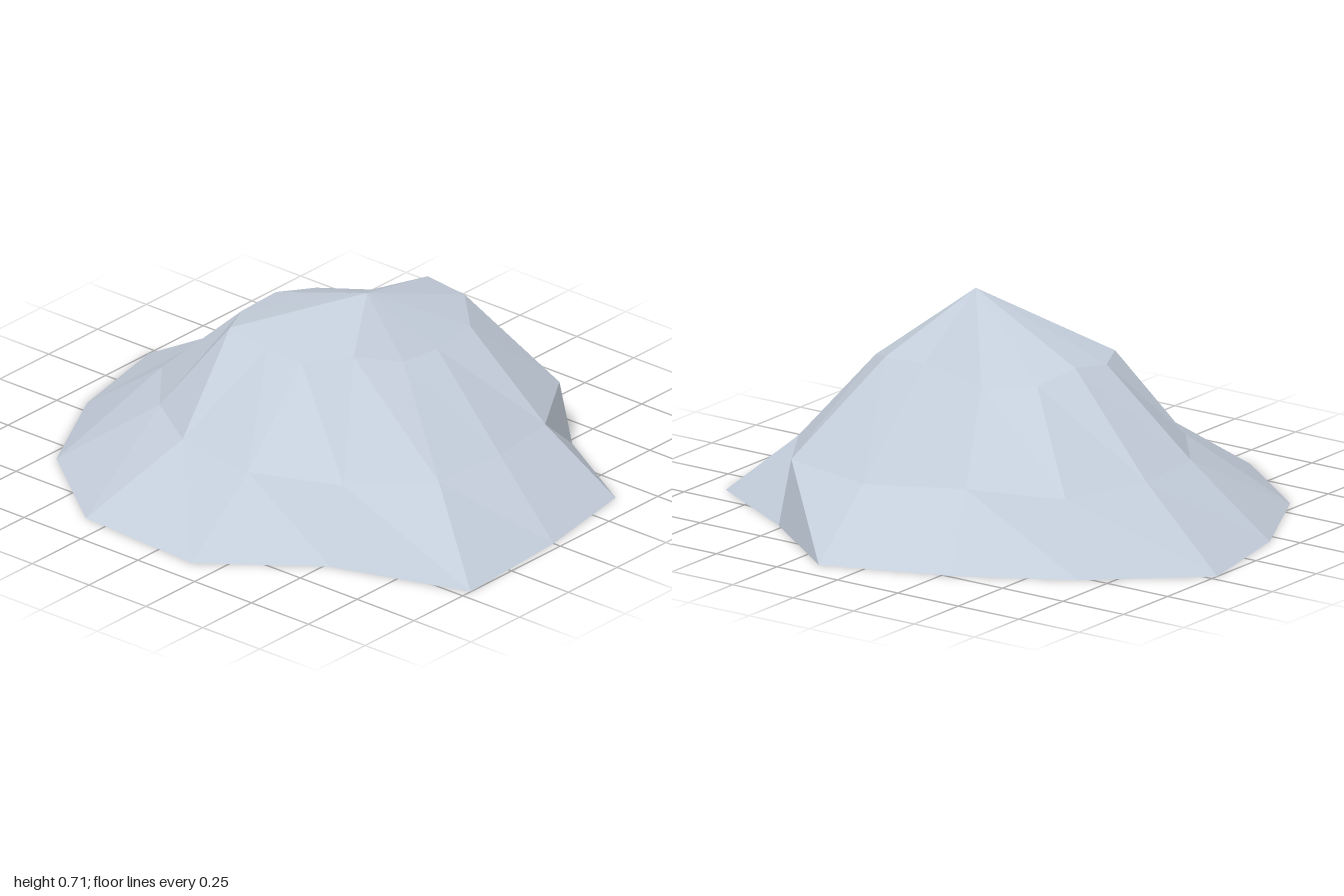
import * as THREE from 'three';

// Horizontal cross-sections of the hill as [x, y, z], running clockwise from the back
const foot = [
  [0.15, 0, -0.9], [0.52, 0, -0.62], [0.9, 0, -0.4], [0.97, 0, 0], [1, 0, 0.46],
  [0.52, 0, 0.62], [0.15, 0, 0.9], [-0.34, 0, 0.87], [-0.71, 0, 0.59], [-0.91, 0, 0.2],
  [-1, 0, -0.22], [-0.65, 0, -0.53], [-0.28, 0, -0.74],
];
const slope = [
  [0.15, 0.22, -0.65], [0.49, 0.23, -0.59], [0.65, 0.22, -0.33], [0.7, 0.23, -0.04], [0.68, 0.23, 0.25],
  [0.46, 0.23, 0.48], [0.15, 0.23, 0.61], [-0.18, 0.23, 0.56], [-0.41, 0.23, 0.41], [-0.59, 0.23, 0.19],
  [-0.62, 0.23, -0.1], [-0.52, 0.23, -0.42], [-0.18, 0.23, -0.52],
];
const shoulder = [
  [0.1, 0.58, -0.37], [0.27, 0.57, -0.36], [0.39, 0.53, -0.25], [0.39, 0.51, -0.08], [0.37, 0.51, 0.07],
  [0.28, 0.555, 0.22], [0.1, 0.5, 0.28], [-0.05, 0.5, 0.28], [-0.22, 0.525, 0.27], [-0.28, 0.52, 0.14],
  [-0.26, 0.54, -0.01], [-0.22, 0.51, -0.17], [-0.07, 0.51, -0.28],
];
const peak = [0.21, 0.715, 0.07];

function facetMesh(name, triangles, material) {
  const geometry = new THREE.BufferGeometry();
  geometry.setAttribute('position', new THREE.Float32BufferAttribute(triangles.flat(2), 3));
  geometry.computeVertexNormals();
  const mesh = new THREE.Mesh(geometry, material);
  mesh.name = name;
  return mesh;
}

// Band of faceted quads between two rings, all split along the same diagonal
function band(lower, upper) {
  return lower.flatMap((a, i) => {
    const j = (i + 1) % lower.length;
    return [[lower[j], a, upper[j]], [a, upper[i], upper[j]]];
  });
}

export function createModel() {
  const rock = new THREE.MeshStandardMaterial({ color: 0xc4cedb, flatShading: true });
  rock.name = 'paleRock';

  const next = (ring, i) => ring[(i + 1) % ring.length];
  const summit = shoulder.map((p, i) => [next(shoulder, i), p, peak]);
  const underside = foot.map((p, i) => [p, next(foot, i), [0, 0, 0]]);

  const group = new THREE.Group();
  group.name = 'rockyHill';
  group.add(
    facetMesh('lowerSlope', band(foot, slope), rock),
    facetMesh('upperSlope', band(slope, shoulder), rock),
    facetMesh('summit', summit, rock),
    facetMesh('underside', underside, rock),
  );
  return group;
}
